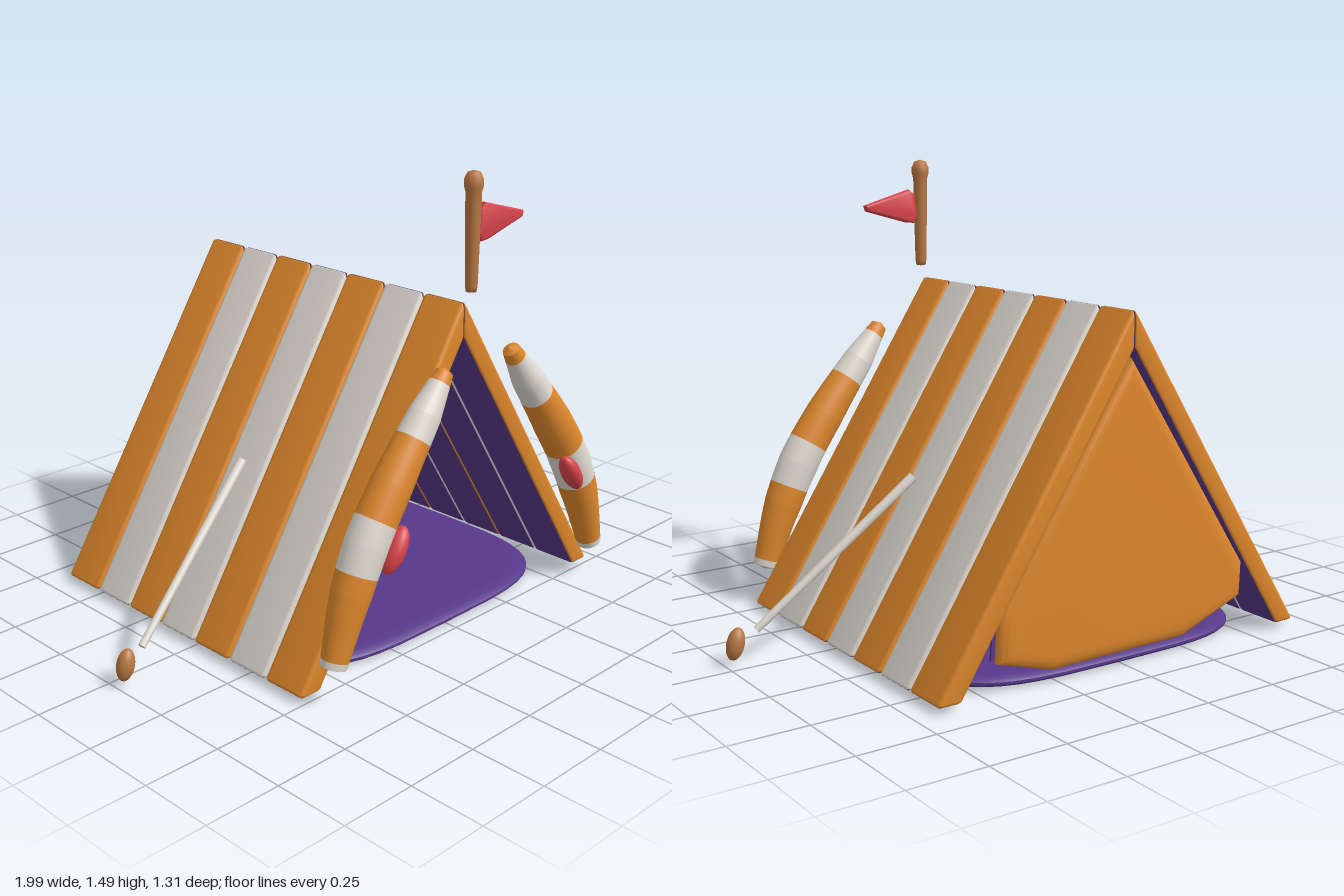
import * as THREE from 'three';
import { toCreasedNormals } from 'three/addons/utils/BufferGeometryUtils.js';
import { RoundedBoxGeometry } from 'three/addons/geometries/RoundedBoxGeometry.js';
import { ParametricGeometry } from 'three/addons/geometries/ParametricGeometry.js';

const material = (name, color) => {
  const m = new THREE.MeshStandardMaterial({ color });
  m.name = name;
  return m;
};

export function createModel() {
  const orange = material('orange canvas', 0xdf882c);
  const cream = material('cream canvas', 0xdfdad1);
  const purple = material('purple lining', 0x57388a);
  const yellow = material('yellow pillow', 0xd3b02e);
  const red = material('red cloth', 0xd8434a);
  const wood = material('brown wood', 0xb97843);

  const model = new THREE.Group();
  model.name = 'tent';
  const add = (parent, name, geometry, mat, x = 0, y = 0, z = 0) => {
    const mesh = new THREE.Mesh(geometry, mat);
    mesh.name = name;
    mesh.position.set(x, y, z);
    parent.add(mesh);
    return mesh;
  };

  // One slanted canvas strip: a rounded box mapped onto the wall's cross-section
  const zBack = -0.655, strips = 7, stripWidth = 1.16 / strips;
  const wallStrip = () => {
    const t = 0.08, l = 1.27;
    const g = new RoundedBoxGeometry(t, l, stripWidth - 0.002, 3, 0.014);
    const p = g.attributes.position;
    for (let i = 0; i < p.count; i++) {
      const u = p.getX(i) / t + 0.5, v = p.getY(i) / l + 0.5;
      p.setX(i, (1 - v) * (0.605 + 0.08 * u));
      p.setY(i, 0.02 * (1 - v) + v * (0.97 + 0.12 * u));
    }
    return toCreasedNormals(g, 0.6);
  };

  // Rolled door flap: oval loops swept along a bent path
  const flapPath = new THREE.CatmullRomCurve3([
    [0.145, 0.925], [0.24, 0.8], [0.37, 0.63], [0.47, 0.48], [0.545, 0.32], [0.615, 0.115],
  ].map(([x, y]) => new THREE.Vector3(x, y, 0.562)));
  const flapRadii = [[0, 0.002], [0.012, 0.028], [0.16, 0.052], [0.4, 0.066], [0.6, 0.069],
    [0.75, 0.064], [0.988, 0.042], [1, 0.002]];
  const flapRadius = (t) => {
    let i = 1;
    while (i < flapRadii.length - 1 && t > flapRadii[i][0]) i++;
    const [t0, r0] = flapRadii[i - 1], [t1, r1] = flapRadii[i];
    return THREE.MathUtils.lerp(r0, r1, (t - t0) / (t1 - t0));
  };
  const flapBand = (from, to) => new ParametricGeometry((u, v, target) => {
    const t = THREE.MathUtils.clamp(THREE.MathUtils.lerp(from, to, v), 0, 1);
    const c = flapPath.getPointAt(t), d = flapPath.getTangentAt(t);
    const r = flapRadius(t), a = u * Math.PI * 2;
    target.set(c.x - d.y * r * Math.cos(a), c.y + d.x * r * Math.cos(a),
      c.z + 0.96 * r * Math.sin(a));
  }, 24, 24);
  const flapStops = [0, 0.05, 0.245, 0.52, 0.69, 0.965, 1];

  // Everything that exists on both sides
  for (const side of [1, -1]) {
    const half = new THREE.Group();
    half.name = side > 0 ? 'leftHalf' : 'rightHalf';
    half.scale.x = side;
    model.add(half);

    for (let i = 0; i < strips; i++) {
      const c = i % 2 ? cream : orange;
      add(half, 'wallStrip', wallStrip(), [c, purple, purple, purple, c, c],
        0, 0, zBack + (i + 0.5) * stripWidth);
    }

    for (let i = 0; i < flapStops.length - 1; i++) {
      add(half, 'rolledFlap', flapBand(flapStops[i], flapStops[i + 1]), i % 2 ? cream : orange);
    }
    const tie = add(half, 'flapTie', new THREE.SphereGeometry(1, 20, 14), red, 0.415, 0.45, 0.617);
    tie.scale.set(0.03, 0.075, 0.036);
    tie.rotation.z = 0.56;

    // Guy rope and its peg
    const a = new THREE.Vector3(0.4, 0.53, -0.065), b = new THREE.Vector3(0.9, 0.1, 0.037);
    const dir = a.clone().sub(b);
    const rope = add(half, 'guyRope', new THREE.CylinderGeometry(0.016, 0.012, dir.length(), 12), cream);
    rope.position.copy(a).lerp(b, 0.5);
    rope.quaternion.setFromUnitVectors(new THREE.Vector3(0, 1, 0), dir.normalize());
    const peg = add(half, 'peg', new THREE.SphereGeometry(1, 18, 12), wood, 0.967, 0.067, 0.043);
    peg.scale.set(0.028, 0.051, 0.028);
    peg.rotation.z = 0.25;
  }

  // Ground sheet with rounded corners
  const sheet = new THREE.Shape();
  const power = (c) => Math.sign(c) * Math.sqrt(Math.abs(c));
  sheet.setFromPoints(Array.from({ length: 48 }, (_, i) => {
    const a = (i / 48) * Math.PI * 2;
    return new THREE.Vector2(0.595 * power(Math.cos(a)), 0.545 * power(Math.sin(a)));
  }));
  const sheetGeo = new THREE.ExtrudeGeometry(sheet, {
    depth: 0.008, bevelThickness: 0.014, bevelSize: 0.06, bevelOffset: -0.06, bevelSegments: 3,
  });
  sheetGeo.rotateX(-Math.PI / 2);
  add(model, 'groundSheet', toCreasedNormals(sheetGeo, 0.7), purple, 0, 0.014, -0.075);

  // Back wall: puffed canvas outside, lining inside
  const panel = new THREE.Shape([
    [0, 0.945], [-0.46, 0.25], [-0.455, 0.14], [-0.22, 0.05], [0.28, 0.045], [0.47, 0.1], [0.46, 0.26],
  ].map(([x, y]) => new THREE.Vector2(x, y)));
  const panelGeo = new THREE.ExtrudeGeometry(panel, {
    depth: 0.012, bevelThickness: 0.022, bevelSize: 0.045, bevelOffset: -0.045, bevelSegments: 4,
  });
  add(model, 'backPanel', toCreasedNormals(panelGeo, 0.7), orange, 0, 0, -0.63);
  const liningGeo = new THREE.ExtrudeGeometry(panel, { depth: 0.008, bevelEnabled: false });
  add(model, 'backLining', liningGeo, purple, 0, 0, -0.597);

  // Pillow
  const pillowGeo = new THREE.CapsuleGeometry(0.073, 0.3, 8, 24);
  pillowGeo.rotateZ(Math.PI / 2);
  add(model, 'pillow', pillowGeo, yellow, 0.04, 0.106, -0.12).scale.z = 1.6;

  // Flag pole with a rounded knob
  const poleProfile = [[0, 1.12], [0.016, 1.123], [0.019, 1.14], [0.024, 1.38], [0.024, 1.42],
    [0.029, 1.44], [0.029, 1.46], [0.02, 1.48], [0, 1.487]];
  add(model, 'flagPole', new THREE.LatheGeometry(
    poleProfile.map(([r, y]) => new THREE.Vector2(r, y)), 20), wood, 0, 0, 0.525);

  // Pennant
  const pennant = new THREE.Shape([
    [0.018, 1.3], [0.03, 1.27], [0.06, 1.272], [0.218, 1.315], [0.225, 1.335], [0.05, 1.385], [0.03, 1.37],
  ].map(([x, y]) => new THREE.Vector2(x, y)));
  const pennantGeo = new THREE.ExtrudeGeometry(pennant, {
    depth: 0.008, bevelThickness: 0.01, bevelSize: 0.01, bevelOffset: -0.01, bevelSegments: 3,
  });
  add(model, 'pennant', toCreasedNormals(pennantGeo, 0.8), red, 0, 0, 0.521);

  return model;
}
